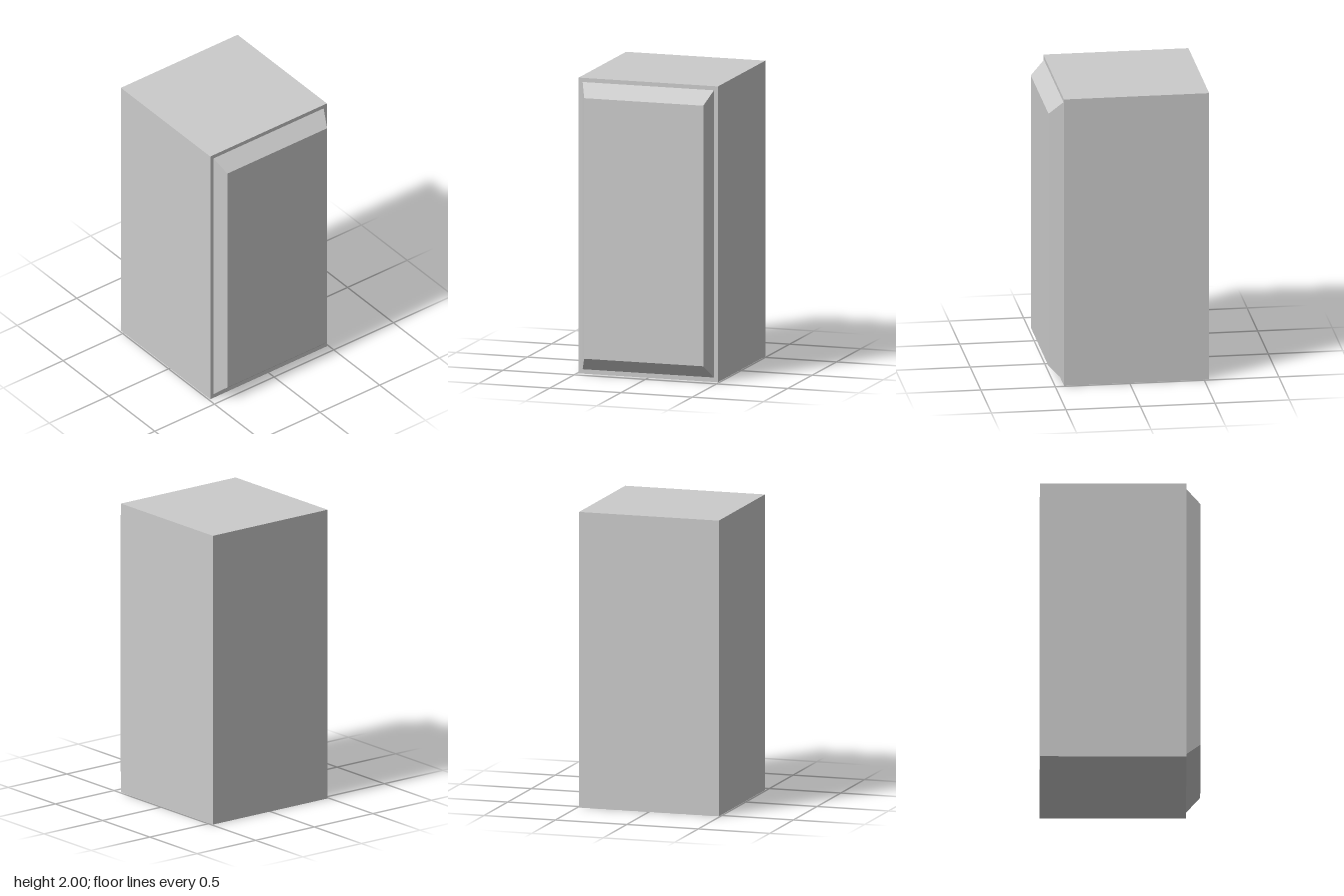
import * as THREE from 'three';

export function createModel() {
  const group = new THREE.Group();
  const material = new THREE.MeshStandardMaterial({ color: 0xcccccc, flatShading: true });

  // Box with its front face inset to form bevelled sides
  function addBlock(name, width, y0, y1, z0, z1, insetX = 0, insetY = 0) {
    const height = y1 - y0;
    const geometry = new THREE.BoxGeometry(width, height, z1 - z0);
    const p = geometry.attributes.position;
    for (let i = 0; i < p.count; i++) {
      if (p.getZ(i) > 0) {
        p.setX(i, p.getX(i) * (1 - 2 * insetX / width));
        p.setY(i, p.getY(i) * (1 - 2 * insetY / height));
      }
    }
    geometry.computeVertexNormals();
    const mesh = new THREE.Mesh(geometry, material);
    mesh.name = name;
    mesh.position.set(0, (y0 + y1) / 2, (z0 + z1) / 2);
    group.add(mesh);
  }

  // Cabinet body
  addBlock('cabinetBody', 0.978, 0, 2, -0.534, 0.44);
  // Bevelled front door
  addBlock('door', 0.922, 0.03, 1.972, 0.44, 0.534, 0.043, 0.09);

  return group;
}
